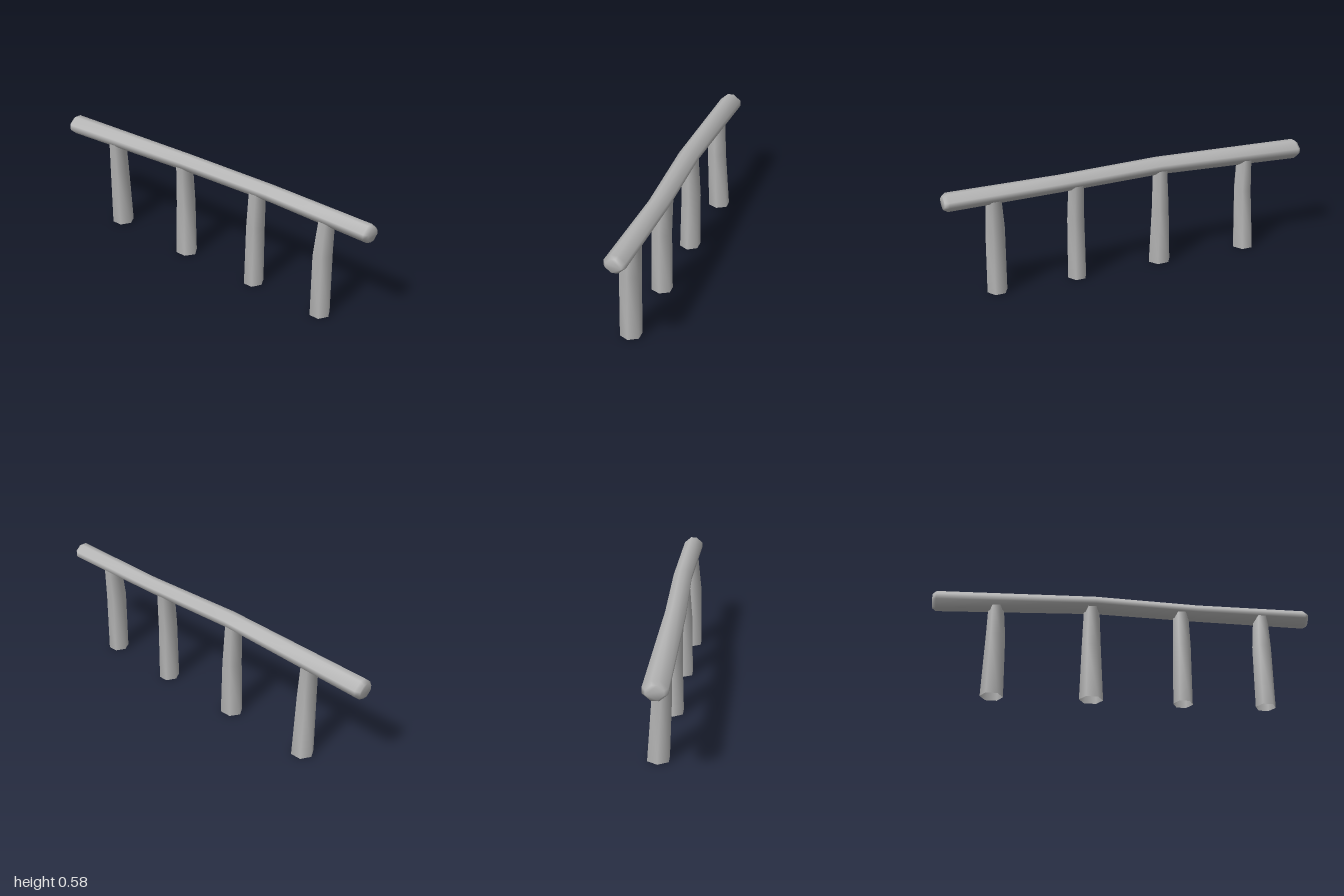
import * as THREE from 'three';

// Joins rings of points into a smooth skin, optionally closing both ends
function loft(rings, capped) {
  const n = rings[0].length, pos = rings.flat(2), index = [];
  for (let r = 0; r < rings.length - 1; r++) {
    for (let i = 0; i < n; i++) {
      const a = r * n + i, b = r * n + (i + 1) % n;
      index.push(a, b, a + n, b, b + n, a + n);
    }
  }
  if (capped) {
    const last = (rings.length - 1) * n;
    for (let i = 1; i < n - 1; i++) {
      index.push(0, i + 1, i);
      index.push(last, last + i, last + i + 1);
    }
  }
  const g = new THREE.BufferGeometry();
  g.setAttribute('position', new THREE.Float32BufferAttribute(pos, 3));
  g.setIndex(index);
  g.computeVertexNormals();
  return g;
}

// Eight-sided rail section: a rectangle with cut corners, running anticlockwise from the front
function railRing([z, x, y, w, h]) {
  const c = 0.3;
  const corners = [[1, -c], [1, c], [c, 1], [-c, 1], [-1, c], [-1, -c], [-c, -1], [c, -1]];
  return corners.map(([u, v]) => [x + u * w, y + v * h, z]);
}

// Six-sided post section, flat towards the sides
function postRing([y, x, z, rx, rz]) {
  return Array.from({ length: 6 }, (_, i) => {
    const a = i * Math.PI / 3;
    return [x + Math.sin(a) * rx / 0.866, y, z + Math.cos(a) * rz];
  });
}

export function createModel() {
  const group = new THREE.Group();
  const grey = new THREE.MeshStandardMaterial({ color: 0xb4b4b4, side: THREE.DoubleSide });
  grey.name = 'weathered grey';

  // Slightly bent top rail with bevelled ends: z, x, y, half width, half height
  const sections = [
    [-1, -0.003, 0.51, 0.042, 0.036],
    [-0.98, -0.003, 0.511, 0.059, 0.05],
    [-0.15, -0.01, 0.539, 0.052, 0.044],
    [0.4, 0.006, 0.536, 0.049, 0.042],
    [0.98, -0.006, 0.531, 0.052, 0.045],
    [1, -0.006, 0.531, 0.038, 0.034],
  ];
  const rail = new THREE.Mesh(loft(sections.map(railRing), true), grey);
  rail.name = 'topRail';
  group.add(rail);

  // Open-ended posts, each a little crooked: y, x, z, half width, half depth
  const posts = [
    [[0, -0.025, 0.742, 0.048, 0.053], [0.34, -0.022, 0.739, 0.048, 0.051], [0.52, -0.01, 0.744, 0.042, 0.04]],
    [[0, -0.01, 0.31, 0.049, 0.051], [0.33, -0.008, 0.312, 0.046, 0.047], [0.52, 0.003, 0.311, 0.043, 0.042]],
    [[0, -0.003, -0.165, 0.049, 0.062], [0.3, 0.0, -0.167, 0.046, 0.05], [0.52, -0.008, -0.168, 0.042, 0.041]],
    [[0, 0.02, -0.67, 0.052, 0.059], [0.33, 0.003, -0.665, 0.046, 0.05], [0.52, 0.0, -0.67, 0.044, 0.039]],
  ];
  posts.forEach((rings, i) => {
    const post = new THREE.Mesh(loft(rings.map(postRing), false), grey);
    post.name = 'post' + (i + 1);
    group.add(post);
  });
  return group;
}
